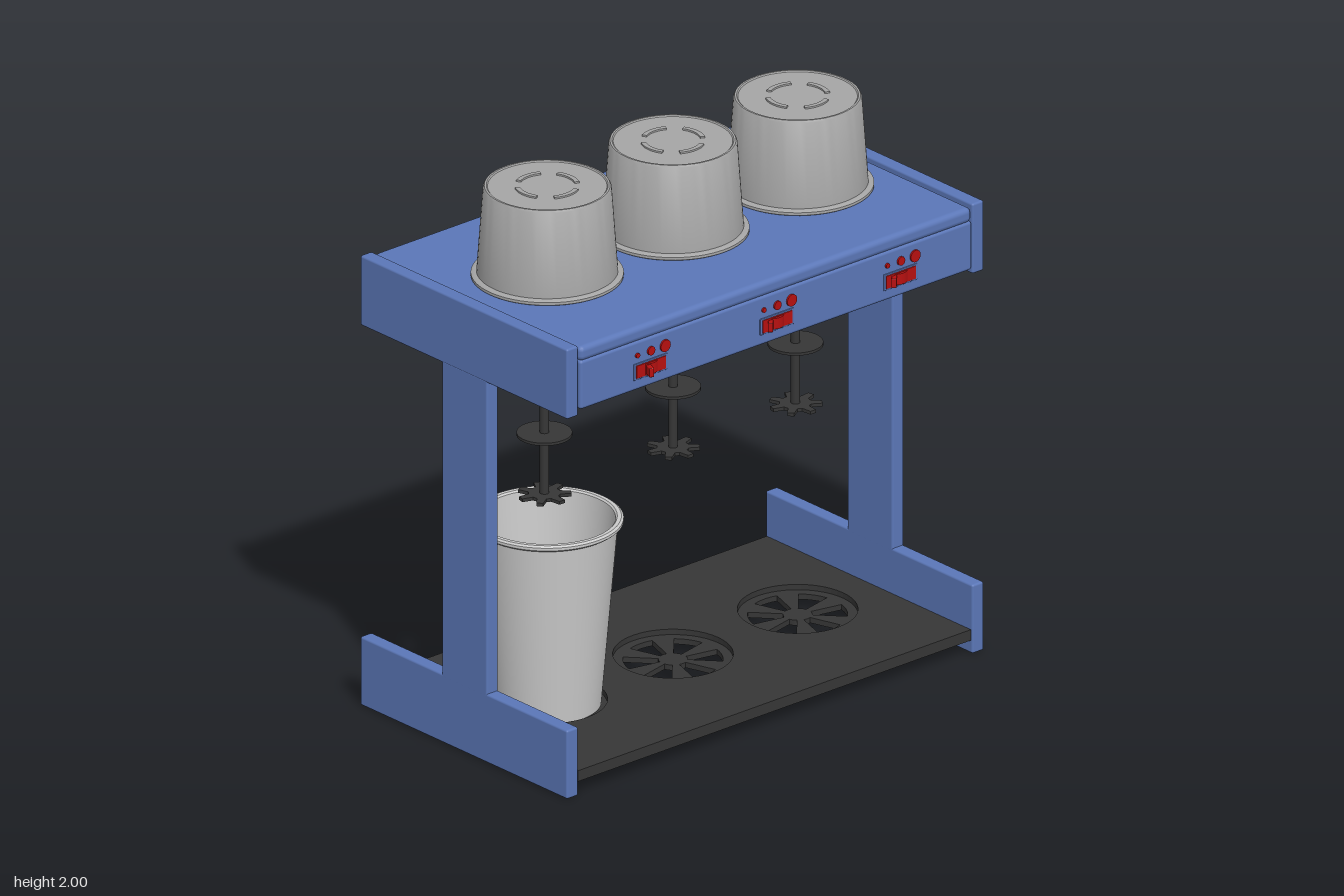
import * as THREE from 'three';
import { toCreasedNormals } from 'three/addons/utils/BufferGeometryUtils.js';
import { RoundedBoxGeometry } from 'three/addons/geometries/RoundedBoxGeometry.js';

const material = (name, color, side = THREE.FrontSide) => {
  const m = new THREE.MeshStandardMaterial({ color, side });
  m.name = name;
  return m;
};
const blue = material('blue enamel', 0x5b77b8);
const steel = material('grey steel', 0xa6a6a6, THREE.DoubleSide);
const paleSteel = material('pale steel', 0xcacaca, THREE.DoubleSide);
const black = material('black plastic', 0x363636);
const red = material('red switch', 0xb81010);

const CX = -0.025; // shared x of cups, spindles and drains
const STATIONS = [0.57, 0, -0.565];

function add(parent, name, geometry, mat, x = 0, y = 0, z = 0) {
  const mesh = new THREE.Mesh(geometry, mat);
  mesh.name = name;
  mesh.position.set(x, y, z);
  parent.add(mesh);
  return mesh;
}

// Rounded box given by its limits
function box(parent, name, mat, [x0, x1], [y0, y1], [z0, z1], r = 0.008) {
  const geo = new RoundedBoxGeometry(x1 - x0, y1 - y0, z1 - z0, 2, r);
  return add(parent, name, geo, mat, (x0 + x1) / 2, (y0 + y1) / 2, (z0 + z1) / 2);
}

// Flat plate lying on its back: shape (x, -z), thickness upward
function plate(shape, depth) {
  const geo = new THREE.ExtrudeGeometry(shape, { depth, bevelEnabled: false, curveSegments: 24 });
  return geo.rotateX(-Math.PI / 2);
}

function lathe(points) {
  const geo = new THREE.LatheGeometry(points.map(p => new THREE.Vector2(...p)), 64);
  return toCreasedNormals(geo, 0.6);
}

// Annular sector, used for drain slots and cup base marks
function sector(path, cx, cy, r0, r1, a0, a1, taper = 0) {
  path.moveTo(cx + r0 * Math.cos(a0 + taper), cy + r0 * Math.sin(a0 + taper));
  path.lineTo(cx + r1 * Math.cos(a0), cy + r1 * Math.sin(a0));
  path.absarc(cx, cy, r1, a0, a1, false);
  path.lineTo(cx + r0 * Math.cos(a1 - taper), cy + r0 * Math.sin(a1 - taper));
  path.absarc(cx, cy, r0, a1 - taper, a0 + taper, true);
  return path;
}

function trayOutline() {
  const s = new THREE.Shape();
  s.moveTo(-0.55, -0.89);
  s.lineTo(0.495, -0.89);
  s.lineTo(0.495, 0.89);
  s.lineTo(-0.55, 0.89);
  s.closePath();
  return s;
}

function createTray() {
  const tray = new THREE.Group();
  tray.name = 'dripTray';
  const lower = trayOutline(), upper = trayOutline();
  for (const z of STATIONS) {
    // round recess above, six wedge slots below
    upper.holes.push(new THREE.Path().absarc(CX, -z, 0.205, 0, Math.PI * 2, true));
    for (let i = 0; i < 6; i++) {
      const a = i * Math.PI / 3;
      lower.holes.push(sector(new THREE.Path(), CX, -z, 0.05, 0.17, a - 0.3, a + 0.3, 0.02));
    }
  }
  add(tray, 'slottedPlate', plate(lower, 0.02), black, 0, 0.05, 0);
  add(tray, 'trayTop', plate(upper, 0.02), black, 0, 0.07, 0);
  return tray;
}

function createSpindle(z) {
  const spindle = new THREE.Group();
  spindle.name = 'mixerSpindle';
  spindle.position.set(CX, 0, z);
  add(spindle, 'rod', new THREE.CylinderGeometry(0.016, 0.016, 0.6, 20), black, 0, 1.145, 0);
  add(spindle, 'splashDisc', new THREE.CylinderGeometry(0.095, 0.095, 0.01, 40), black, 0, 1.08, 0);
  const star = new THREE.Shape();
  const n = 7;
  for (let i = 0; i < n; i++) {
    const a = i * 2 * Math.PI / n;
    [[0.055, -0.3], [0.092, -0.13], [0.092, 0.13], [0.055, 0.3]].forEach(([r, d], k) => {
      const x = r * Math.cos(a + d), y = r * Math.sin(a + d);
      if (i === 0 && k === 0) star.moveTo(x, y);
      else star.lineTo(x, y);
    });
  }
  star.closePath();
  add(spindle, 'starBlade', plate(star, 0.012), black, 0, 0.848, 0);
  return spindle;
}

function createStoredCup(z) {
  const cup = new THREE.Group();
  cup.name = 'upturnedCup';
  cup.position.set(CX, 1.66, z);
  add(cup, 'cupBody', lathe([
    [0.25, 0], [0.26, 0.006], [0.26, 0.016], [0.25, 0.022], [0.241, 0.022],
    [0.219, 0.33], [0.214, 0.338], [0.207, 0.338], [0.203, 0.334], [0, 0.334],
  ]), steel);
  // raised arcs on the base
  for (let i = 0; i < 4; i++) {
    const a = i * Math.PI / 2;
    const arc = sector(new THREE.Shape(), 0, 0, 0.095, 0.112, a - 0.5, a + 0.5);
    add(cup, 'baseMark', plate(arc, 0.006), steel, 0, 0.334, 0);
  }
  return cup;
}

function createSwitch(z, angle) {
  const unit = new THREE.Group();
  unit.name = 'switchUnit';
  unit.position.set(0.505, 1.5, z);
  box(unit, 'switchFrame', blue, [-0.005, 0.004], [-0.03, 0.03], [-0.076, 0.076], 0.002);
  box(unit, 'switchInset', red, [-0.003, 0.007], [-0.024, 0.024], [-0.067, 0.067], 0.002);
  add(unit, 'rocker', new THREE.CylinderGeometry(0.045, 0.045, 0.04, 32), red, -0.028, 0, 0);
  const pivot = new THREE.Group();
  pivot.name = 'leverPivot';
  pivot.position.x = -0.028;
  pivot.rotation.y = -angle;
  unit.add(pivot);
  box(pivot, 'lever', red, [0.02, 0.077], [-0.017, 0.017], [-0.009, 0.009], 0.003);
  // indicator lamps, small to large
  [[0.059, 0.009], [-0.002, 0.016], [-0.066, 0.022]].forEach(([dz, r]) => {
    const geo = new THREE.CylinderGeometry(r, r, 0.009, 24).rotateZ(Math.PI / 2);
    add(unit, 'lamp', geo, red, 0.002, 0.06, dz);
  });
  return unit;
}

export function createModel() {
  const model = new THREE.Group();
  model.name = 'drinkMixerStand';

  // I-shaped end frames
  for (const side of [1, -1]) {
    const frame = new THREE.Group();
    frame.name = side > 0 ? 'frontFrame' : 'backFrame';
    const zs = side > 0 ? [0.893, 0.945] : [-0.945, -0.893];
    box(frame, 'foot', blue, [-0.56, 0.5], [0, 0.255], zs);
    box(frame, 'column', blue, [-0.143, 0.09], [0.24, 1.42], zs);
    box(frame, 'header', blue, [-0.56, 0.5], [1.41, 1.67], zs);
    model.add(frame);
  }

  // Motor housing with lid
  box(model, 'housing', blue, [-0.558, 0.505], [1.43, 1.612], [-0.888, 0.888], 0.012);
  box(model, 'housingLid', blue, [-0.558, 0.505], [1.606, 1.662], [-0.888, 0.888], 0.02);
  model.add(createTray());

  const rodZ = [0.583, 0, -0.555], switchZ = [0.573, 0, -0.56], leverAngle = [0.4, 0.75, 0.75];
  STATIONS.forEach((z, i) => {
    model.add(createStoredCup(z));
    model.add(createSpindle(rodZ[i]));
    model.add(createSwitch(switchZ[i], leverAngle[i]));
  });

  // Open cup standing on the tray
  add(model, 'standingCup', lathe([
    [0, 0], [0.178, 0], [0.184, 0.006], [0.241, 0.675], [0.252, 0.675], [0.26, 0.682],
    [0.26, 0.692], [0.252, 0.698], [0.238, 0.698], [0.232, 0.692], [0.175, 0.012], [0, 0.012],
  ]), paleSteel, CX, 0.072, 0.57);

  return model;
}
